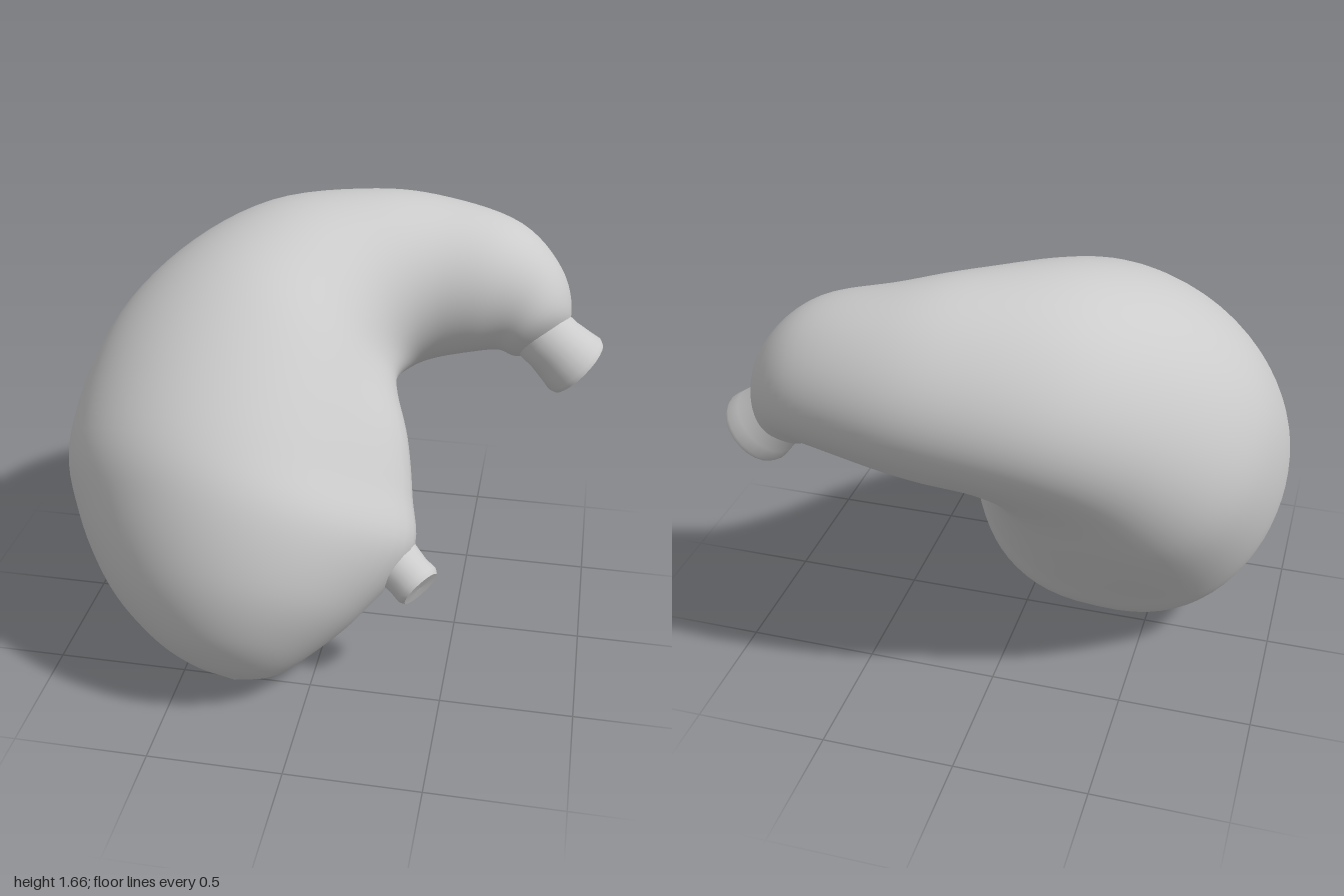
import * as THREE from 'three';

const material = new THREE.MeshStandardMaterial({ color: 0xcccccc, side: THREE.DoubleSide });

// Cross-sections of the sac: outer x,y,z, inner x,y,z, depth radius, height of the inner ridge.
const SECTIONS = [
  [-0.26, -0.33, 0.56, -0.26, -0.33, 0.56, 0, 0],
  [-0.42, -0.295, 0.57, -0.12, -0.3, 0.57, 0.17, 0],
  [-0.58, -0.21, 0.59, 0.02, -0.2, 0.6, 0.33, 0],
  [-0.77, -0.04, 0.575, 0.18, -0.03, 0.615, 0.49, 0.02],
  [-0.93, 0.22, 0.565, 0.28, 0.2, 0.63, 0.6, 0.09],
  [-1.0, 0.5, 0.59, 0.25, 0.41, 0.65, 0.61, 0.1],
  [-0.92, 0.94, 0.57, 0.22, 0.62, 0.67, 0.575, 0.09],
  [-0.69, 1.29, 0.56, 0.2, 0.79, 0.66, 0.515, 0.05],
  [-0.36, 1.55, 0.52, 0.21, 0.89, 0.6, 0.45, 0.02],
  [0.05, 1.65, 0.49, 0.26, 0.97, 0.5, 0.38, 0],
  [0.35, 1.65, 0.46, 0.34, 1.02, 0.455, 0.325, 0],
  [0.64, 1.57, 0.45, 0.49, 1.06, 0.445, 0.275, 0],
  [0.81, 1.41, 0.42, 0.58, 1.08, 0.42, 0.215, 0],
  [0.86, 1.24, 0.38, 0.66, 1.07, 0.38, 0.155, 0],
  [0.8, 1.12, 0.35, 0.8, 1.12, 0.35, 0, 0],
];

// Smooth loft through the cross-sections, each rounder in front and squarer behind.
function sacGeometry(steps, sides) {
  const curve = (pick) =>
    new THREE.CatmullRomCurve3(SECTIONS.map((s) => new THREE.Vector3(...pick(s))), false, 'catmullrom', 0.5);
  const outer = curve((s) => s.slice(0, 3));
  const inner = curve((s) => s.slice(3, 6));
  const sizes = curve((s) => [s[6], s[7], 0]);
  const positions = [];
  const index = [];
  for (let i = 0; i <= steps; i++) {
    const t = i / steps;
    const a = outer.getPoint(t);
    const b = inner.getPoint(t);
    const { x: depth, y: ridge } = sizes.getPoint(t);
    const centre = a.clone().add(b).multiplyScalar(0.5);
    const half = a.clone().sub(b).multiplyScalar(0.5);
    for (let j = 0; j < sides; j++) {
      const angle = (j / sides) * Math.PI * 2;
      const c = Math.cos(angle);
      const s = Math.sin(angle);
      const across = Math.sign(c) * Math.abs(c) ** (s < 0 ? 0.8 : 1);
      const p = centre.clone().addScaledVector(half, across);
      // Ridge running from the inlet up the inner side
      const bump = ridge * Math.exp(-(((angle - Math.PI + 0.15) / 0.35) ** 2));
      positions.push(p.x + bump, p.y, p.z + depth * s);
      if (i === steps) continue;
      const k = i * sides + j;
      const n = i * sides + ((j + 1) % sides);
      index.push(k, n, k + sides, n, n + sides, k + sides);
    }
  }
  const geometry = new THREE.BufferGeometry();
  geometry.setAttribute('position', new THREE.Float32BufferAttribute(positions, 3));
  geometry.setIndex(index);
  geometry.computeVertexNormals();
  return geometry;
}

// Turned tube from one point to another; the profile lists [radius, fraction of length].
function turned(name, from, to, profile) {
  const start = new THREE.Vector3(...from);
  const axis = new THREE.Vector3(...to).sub(start);
  const length = axis.length();
  const points = profile.map(([r, t]) => new THREE.Vector2(r, t * length));
  const mesh = new THREE.Mesh(new THREE.LatheGeometry(points, 24), material);
  mesh.name = name;
  mesh.position.copy(start);
  mesh.quaternion.setFromUnitVectors(new THREE.Vector3(0, 1, 0), axis.normalize());
  return mesh;
}

export function createModel() {
  const model = new THREE.Group();
  model.name = 'curvedSac';

  // Main bag, leaning backwards and curling over to the side
  const sac = new THREE.Mesh(sacGeometry(84, 72), material);
  sac.name = 'sac';
  sac.rotation.x = -Math.atan2(0.65, 0.76);
  model.add(sac);

  // Outlet stub at the narrow end
  model.add(turned('outletStub', [0.7, 1.17, -0.48], [0.905, 0.985, -0.48], [
    [0.1, 0], [0.125, 0.25], [0.125, 0.5], [0.135, 0.75], [0.143, 0.92], [0.135, 1], [0.135, 1], [0, 0.97],
  ]));

  // Small inlet stub on the inner side
  model.add(turned('inletStub', [0.2, 0.62, 0.33], [0.41, 0.495, 0.465], [
    [0.12, 0], [0.1, 0.45], [0.09, 0.75], [0.092, 0.93], [0.08, 1], [0.08, 1], [0, 0.98],
  ]));

  return model;
}
